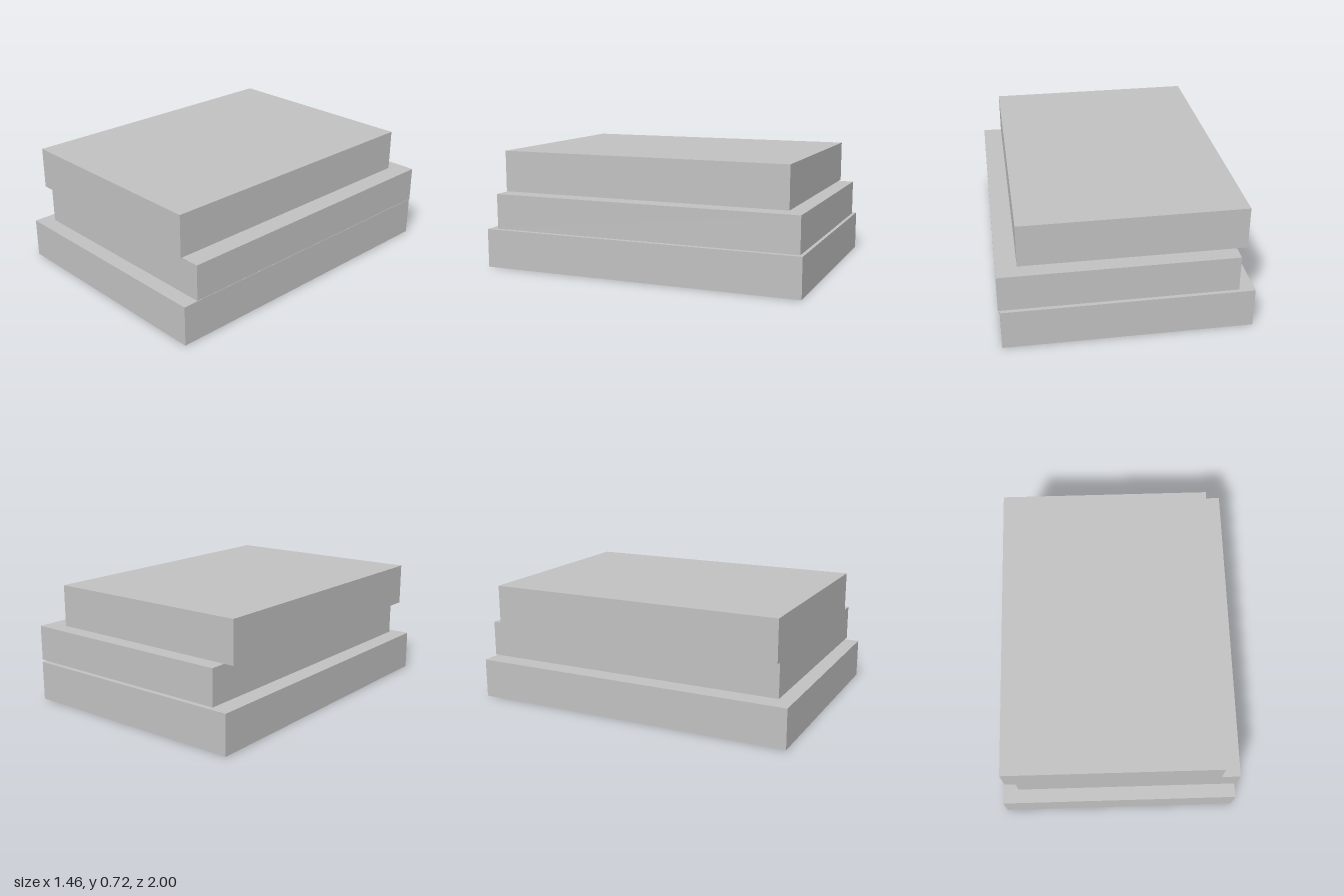
import * as THREE from 'three';

export function createModel() {
  const group = new THREE.Group();
  const grey = new THREE.MeshStandardMaterial({ color: 0xc0c0c0 });
  grey.name = 'grey';

  // Loosely stacked slabs: name, minimum corner, maximum corner
  const slabs = [
    ['bottomSlab', [-0.73, 0, -1], [0.72, 0.24, 1]],
    ['middleSlab', [-0.635, 0.25, -0.99], [0.73, 0.466, 0.917]],
    ['topSlab', [-0.697, 0.466, -0.893], [0.61, 0.72, 0.925]],
  ];
  for (const [name, min, max] of slabs) {
    const box = new THREE.Box3(new THREE.Vector3(...min), new THREE.Vector3(...max));
    const size = box.getSize(new THREE.Vector3());
    const slab = new THREE.Mesh(new THREE.BoxGeometry(size.x, size.y, size.z), grey);
    box.getCenter(slab.position);
    slab.name = name;
    group.add(slab);
  }
  return group;
}
